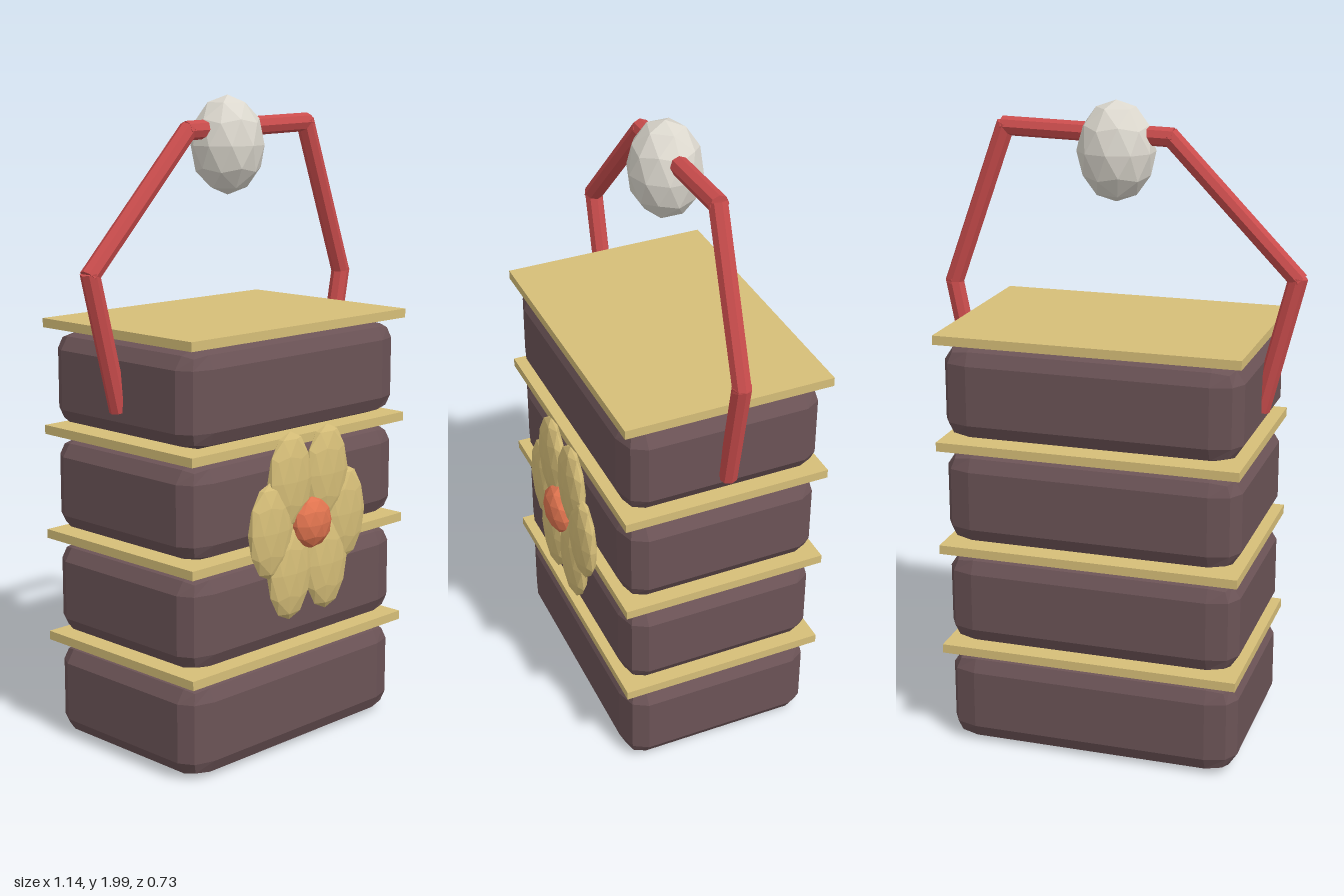
import * as THREE from 'three';
import { RoundedBoxGeometry } from 'three/addons/geometries/RoundedBoxGeometry.js';

const mat = (color) => new THREE.MeshStandardMaterial({ color, flatShading: true });
const CX = 0.012, CZ = -0.038;

export function createModel() {
  const model = new THREE.Group();
  const plum = mat(0x6b5356), gold = mat(0xd6be78), red = mat(0xc94c4c);
  const ivory = mat(0xdcd8ce), orange = mat(0xe0744f);

  const add = (name, geometry, material, x, y, z, parent = model) => {
    const mesh = new THREE.Mesh(geometry, material);
    mesh.name = name;
    mesh.position.set(x, y, z);
    parent.add(mesh);
    return mesh;
  };

  // Low-poly ellipsoid with a vertex at each pole
  const ellipsoid = (rx, ry, rz) =>
    new THREE.IcosahedronGeometry(1, 1)
      .rotateZ(-Math.atan(2 / (1 + Math.sqrt(5))))
      .scale(rx, ry, rz);

  // Four stacked boxes, each under a thin lid
  const rx = 0.09, ry = 0.056, rz = 0.065;
  const boxGeo = new RoundedBoxGeometry(0.922 / rx, 0.296 / ry, 0.63 / rz, 1, 1).scale(rx, ry, rz);
  const lidGeo = new THREE.BoxGeometry(0.934, 0.028, 0.652);
  for (let i = 0; i < 4; i++) {
    const y = i * 0.3317;
    add('tierBox' + (i + 1), boxGeo, plum, CX, y + 0.157, CZ);
    add('tierLid' + (i + 1), lidGeo, gold, CX, y + 0.326, CZ - 0.001);
  }

  // Handle of straight rods
  const handle = new THREE.Group();
  handle.name = 'handle';
  model.add(handle);
  const path = [[-0.442, 1.1], [-0.542, 1.5], [-0.155, 1.897], [0.36, 1.91], [0.537, 1.425], [0.47, 1.08]]
    .map(([x, y]) => new THREE.Vector3(x, y, CZ));
  for (let i = 0; i < path.length - 1; i++) {
    const a = path[i], b = path[i + 1];
    const dir = b.clone().sub(a), mid = a.clone().add(b).multiplyScalar(0.5);
    const geo = new THREE.CylinderGeometry(0.029, 0.029, dir.length() + 0.016, 8);
    const rod = add('handleRod' + (i + 1), geo, red, mid.x, mid.y, mid.z, handle);
    rod.quaternion.setFromUnitVectors(new THREE.Vector3(0, 1, 0), dir.normalize());
  }

  // Knob on the handle
  add('knob', ellipsoid(0.119, 0.15, 0.11), ivory, CX, 1.85, CZ);

  // Flower on the front
  const flower = new THREE.Group();
  flower.name = 'flower';
  flower.position.set(CX, 0.735, 0.305);
  model.add(flower);
  const petalGeo = ellipsoid(0.092, 0.15, 0.031);
  for (let i = 0; i < 6; i++) {
    const a = (i * Math.PI) / 3;
    add('petal' + (i + 1), petalGeo, gold, Math.cos(a) * 0.163, Math.sin(a) * 0.163, 0, flower);
  }
  add('flowerCentre', ellipsoid(0.08, 0.08, 0.044), orange, 0, 0, 0.014, flower);

  return model;
}
